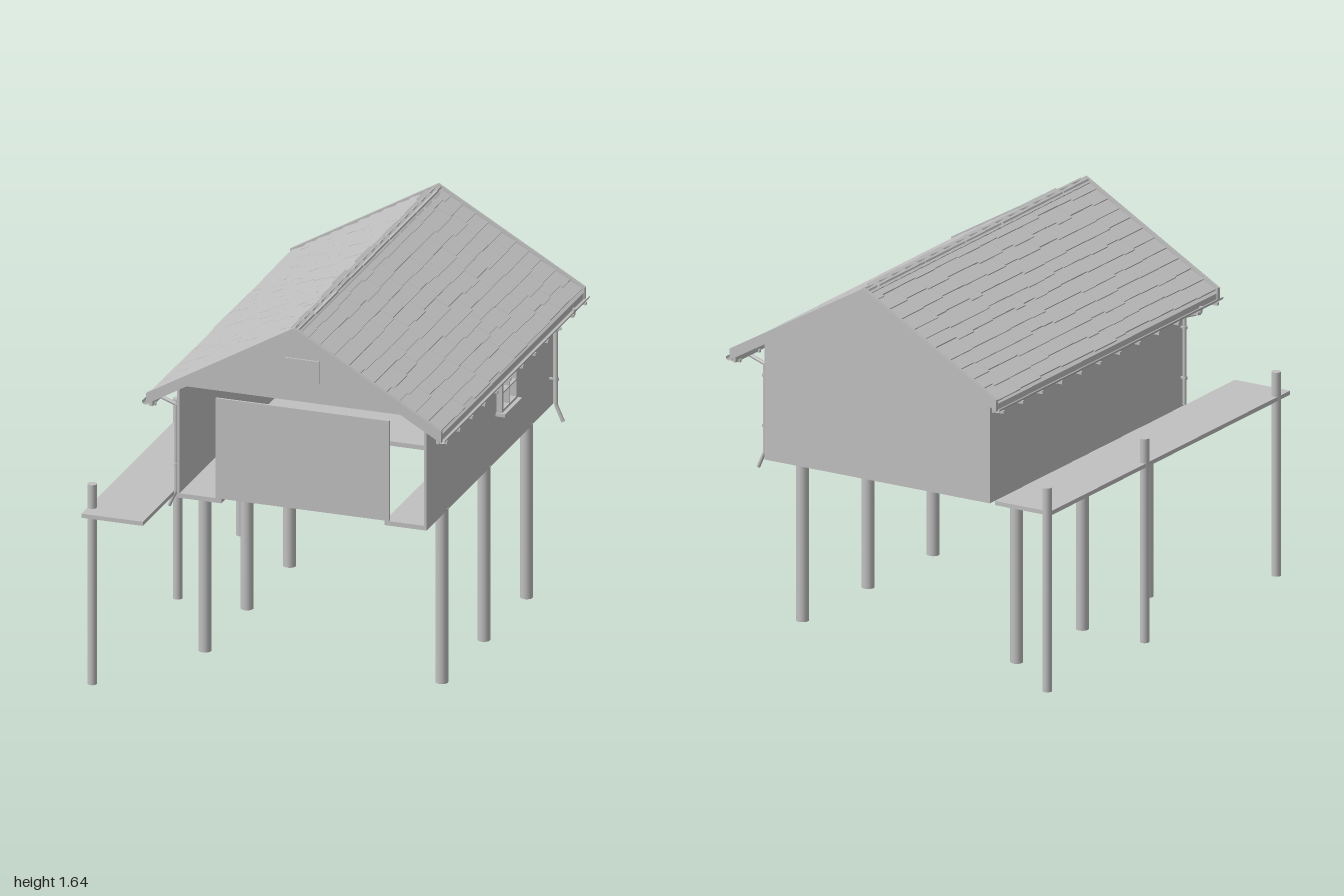
import * as THREE from 'three';

const grey = new THREE.MeshStandardMaterial({ color: 0xc0c0c0, side: THREE.DoubleSide });
grey.name = 'plain grey';

const CX = 0.09;          // ridge position in x
const ROOF_Z = -0.11;     // roof centre in z
const HALF = 0.88;        // half the roof length
const PITCH = Math.PI / 6;

let seed = 7;
const rand = () => (seed = (seed * 16807) % 2147483647) / 2147483647;

function add(parent, name, geometry, x = 0, y = 0, z = 0) {
  const mesh = new THREE.Mesh(geometry, grey);
  mesh.name = name;
  mesh.position.set(x, y, z);
  parent.add(mesh);
  return mesh;
}

// Box given by its limits on each axis
function block(parent, name, x0, x1, y0, y1, z0, z1) {
  return add(parent, name, new THREE.BoxGeometry(x1 - x0, y1 - y0, z1 - z0),
    (x0 + x1) / 2, (y0 + y1) / 2, (z0 + z1) / 2);
}

const polygon = (points) => new THREE.Shape(points.map(([x, y]) => new THREE.Vector2(x, y)));
const rect = (x0, x1, y0, y1) => polygon([[x0, y0], [x1, y0], [x1, y1], [x0, y1]]);
const slab = (shape, depth) => new THREE.ExtrudeGeometry(shape, { depth, bevelEnabled: false });

// Round bar between two points
function rod(parent, name, a, b, r, sides = 12) {
  const from = new THREE.Vector3(...a), to = new THREE.Vector3(...b);
  const dir = to.clone().sub(from);
  const mesh = add(parent, name, new THREE.CylinderGeometry(r, r, dir.length(), sides));
  mesh.position.copy(from).addScaledVector(dir, 0.5);
  mesh.quaternion.setFromUnitVectors(new THREE.Vector3(0, 1, 0), dir.normalize());
}

// One slope of the roof with its gutter and downpipe, sloping towards +x
function roofHalf() {
  const half = new THREE.Group();
  half.name = 'roofHalf';

  add(half, 'roofBoarding',
    slab(polygon([[0, 1.59], [0.645, 1.218], [0.645, 1.243], [0, 1.615]]), HALF * 2 - 0.02), 0, 0, -HALF + 0.01);
  const barge = slab(polygon([[0, 1.59], [0.65, 1.215], [0.65, 1.265], [0, 1.64]]), 0.018);
  add(half, 'bargeBoard', barge, 0, 0, -HALF);
  add(half, 'bargeBoard', barge, 0, 0, HALF - 0.018);

  // Shingles lie in a frame whose x axis runs down the slope
  const cover = new THREE.Group();
  cover.name = 'shingles';
  cover.position.y = 1.64;
  cover.rotation.z = -PITCH;
  half.add(cover);
  const end = HALF - 0.018;
  for (let k = 0; k < 11; k++) {
    let z = -end;
    while (z < end - 0.001) {
      let w = 0.07 + rand() * 0.12;
      if (z + w > end - 0.05) w = end - z;
      const u = (k + 1) * 0.0675 + (rand() - 0.5) * 0.016;
      const tile = add(cover, 'shingle', new THREE.BoxGeometry(0.084, 0.008, w - 0.002),
        u - 0.042, -0.014, z + w / 2);
      tile.rotation.z = 0.095;
      z += w;
    }
  }

  // Overlapping ridge caps
  const caps = 17, step = end * 2 / caps;
  for (let i = 0; i < caps; i++) {
    const cap = add(cover, 'ridgeCap', new THREE.BoxGeometry(0.034, 0.006, step + 0.01),
      0.017, -0.006, -end + step * (i + 0.5));
    cap.rotation.x = 0.04;
  }

  // Gutter and brackets
  const gutter = add(half, 'gutter',
    new THREE.CylinderGeometry(0.016, 0.016, HALF * 2, 12, 1, true, -Math.PI / 2, Math.PI), 0.652, 1.228, 0);
  gutter.rotation.x = Math.PI / 2;
  block(half, 'fascia', 0.626, 0.638, 1.205, 1.235, -HALF + 0.01, HALF - 0.01);
  for (let i = 0; i < 12; i++) {
    const z = 0.84 - i * 0.1527;
    block(half, 'gutterBracket', 0.62, 0.666, 1.2, 1.213, z - 0.006, z + 0.006);
  }

  // Downpipe with wall clips
  const pz = -0.725;
  const path = [[0.655, 1.225], [0.65, 1.197], [0.574, 1.17], [0.574, 0.785], [0.605, 0.715]];
  for (let i = 1; i < path.length; i++) {
    rod(half, 'downpipe', [...path[i - 1], pz], [...path[i], pz], 0.008);
  }
  for (const y of [1.12, 0.9]) {
    rod(half, 'pipeClip', [0.574, y - 0.006, pz], [0.574, y + 0.006, pz], 0.011);
    block(half, 'clipStem', 0.545, 0.574, y - 0.004, y + 0.004, pz - 0.004, pz + 0.004);
  }
  return half;
}

export function createModel() {
  const model = new THREE.Group();
  model.name = 'stiltHouse';

  // Stilts under the house and posts of the walkway
  for (const x of [-0.435, 0.61]) {
    for (const z of [0.4, -0.11, -0.625]) rod(model, 'stilt', [x, 0, z], [x, 0.775, z], 0.027, 24);
  }
  for (const z of [0.915, -0.12, -0.885]) {
    rod(model, 'walkwayPost', [-0.745, 0, z], [-0.745, 0.89, z], 0.02, 20);
  }
  block(model, 'walkway', -0.76, -0.49, 0.767, 0.785, -0.885, 1.0);

  // Floor with a large opening towards the front
  block(model, 'backFloor', -0.465, 0.635, 0.77, 0.79, -0.885, -0.2);
  block(model, 'leftFloorStrip', 0.45, 0.635, 0.77, 0.79, -0.2, 0.655);
  block(model, 'rightFloorStrip', -0.465, -0.27, 0.77, 0.79, -0.2, 0.655);

  // Side walls, the left one with a window opening
  block(model, 'rightWall', -0.465, -0.455, 0.77, 1.27, -0.885, 0.655);
  const wall = rect(-0.655, 0.885, 0.77, 1.27);
  wall.holes.push(rect(0.2, 0.37, 0.99, 1.15));
  add(model, 'leftWall', slab(wall, 0.01), 0.625).rotation.y = Math.PI / 2;

  // Window frame with four panes, and its sill
  const frame = rect(0.19, 0.38, 0.98, 1.16);
  for (const [a, b] of [[0.206, 0.281], [0.289, 0.364]]) {
    for (const [c, d] of [[0.996, 1.066], [1.074, 1.144]]) frame.holes.push(rect(a, b, c, d));
  }
  add(model, 'windowFrame', slab(frame, 0.035), 0.625).rotation.y = Math.PI / 2;
  block(model, 'windowSill', 0.63, 0.677, 0.97, 0.985, -0.387, -0.183);

  // Back wall, front gable, vent and front panel
  add(model, 'backWall', slab(polygon([[-0.465, 0.77], [0.635, 0.77], [0.635, 1.273], [CX, 1.59],
    [-0.465, 1.273]]), 0.01), 0, 0, -0.885);
  add(model, 'frontGable', slab(polygon([[-0.465, 1.27], [0.635, 1.27], [0.635, 1.275], [CX, 1.59],
    [-0.465, 1.275]]), 0.01), 0, 0, 0.645);
  block(model, 'gableVent', 0.012, 0.165, 1.36, 1.46, 0.65, 0.663);
  block(model, 'frontPanel', -0.295, 0.47, 0.79, 1.235, 0.645, 0.655);

  // Both roof slopes, one turned half round
  for (const turn of [0, Math.PI]) {
    const half = roofHalf();
    half.position.set(CX, 0, ROOF_Z);
    half.rotation.y = turn;
    model.add(half);
  }
  return model;
}
